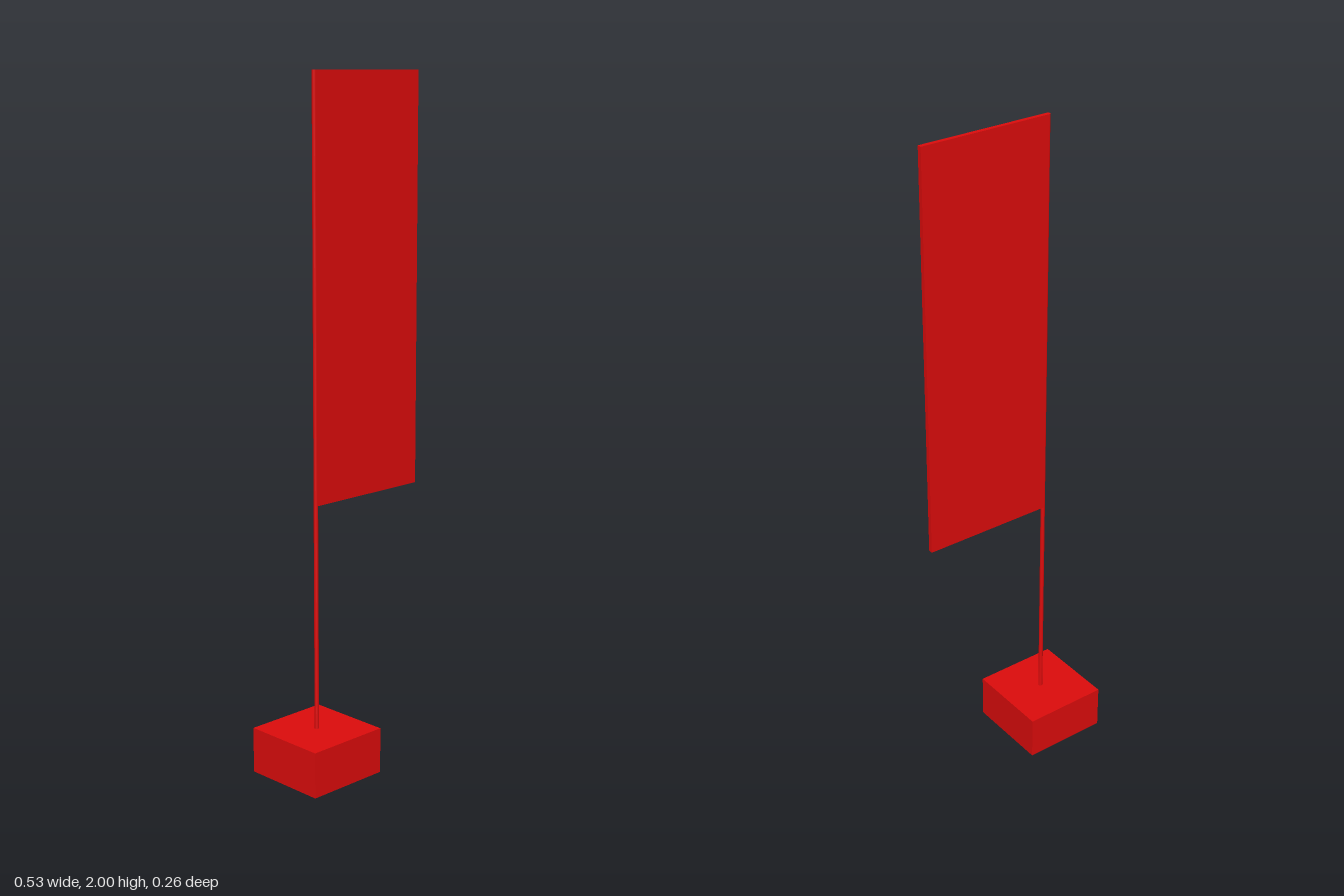
import * as THREE from 'three';

export function createModel() {
  const group = new THREE.Group();
  const red = new THREE.MeshStandardMaterial({ color: 0xdd0c0c });
  const poleX = -0.135, poleRadius = 0.0065;
  const baseHeight = 0.135, top = 2;

  const add = (name, geometry, x, y) => {
    const mesh = new THREE.Mesh(geometry, red);
    mesh.name = name;
    mesh.position.set(x, y, 0);
    group.add(mesh);
  };

  // square weighted base
  add('base', new THREE.BoxGeometry(0.26, baseHeight, 0.26), poleX, baseHeight / 2);

  // slim pole from the base to the top edge of the flag
  const poleHeight = top - baseHeight;
  add('pole', new THREE.CylinderGeometry(poleRadius, poleRadius, poleHeight, 16), poleX, baseHeight + poleHeight / 2);

  // tall flag panel, as thick as the pole, reaching out to the left
  const flagWidth = 0.4, flagHeight = 1.2;
  add('flag', new THREE.BoxGeometry(flagWidth, flagHeight, poleRadius * 2), poleX + flagWidth / 2, top - flagHeight / 2);

  return group;
}
